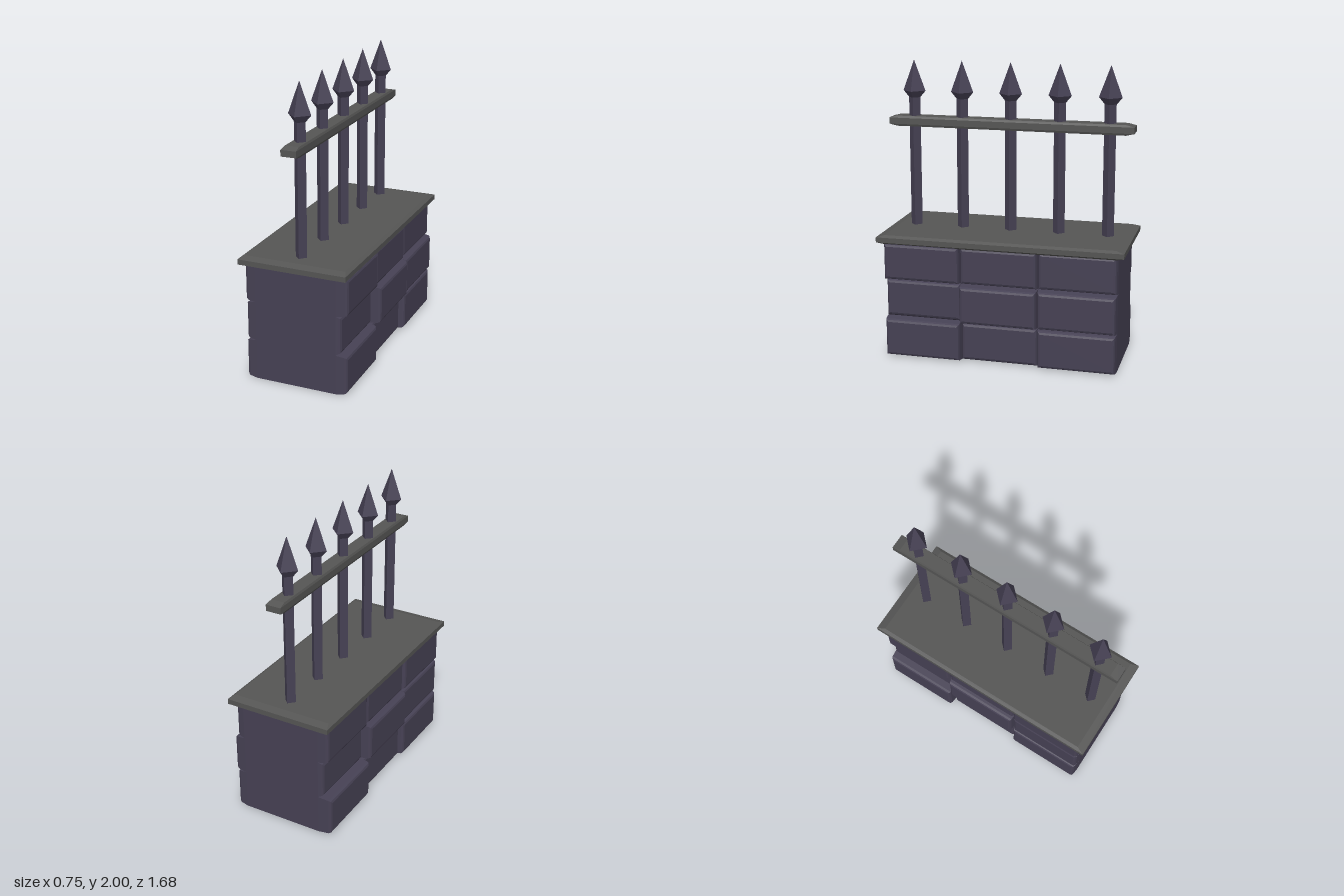
import * as THREE from 'three';

const stone = new THREE.MeshStandardMaterial({ color: 0x464154, flatShading: true });
stone.name = 'dark purple stone and iron';
const grey = new THREE.MeshStandardMaterial({ color: 0x555554, flatShading: true });
grey.name = 'grey slab';

// Stack of rectangles [y, x0, x1, z0, z1] joined into a closed solid
function loft(rings) {
  const pos = [];
  const corners = rings.map(([y, x0, x1, z0, z1]) =>
    [[x0, y, z1], [x1, y, z1], [x1, y, z0], [x0, y, z0]]);
  const quad = (a, b, c, d) => pos.push(...a, ...b, ...c, ...a, ...c, ...d);
  for (let i = 0; i + 1 < corners.length; i++) {
    const lo = corners[i], hi = corners[i + 1];
    for (let k = 0; k < 4; k++) {
      const n = (k + 1) % 4;
      quad(lo[k], lo[n], hi[n], hi[k]);
    }
  }
  const first = corners[0], last = corners[corners.length - 1];
  quad(last[0], last[1], last[2], last[3]);
  quad(first[3], first[2], first[1], first[0]);
  const g = new THREE.BufferGeometry();
  g.setAttribute('position', new THREE.Float32BufferAttribute(pos, 3));
  g.computeVertexNormals();
  return g;
}

// Plank whose top and bottom faces are inset by bx, bz
function bevelledPlank(x0, x1, y0, y1, z, bx, by, bz) {
  const small = (y) => [y, x0 + bx, x1 - bx, -z + bz, z - bz];
  const full = (y) => [y, x0, x1, -z, z];
  return loft([small(y0), full(y0 + by), full(y1 - by), small(y1)]);
}

export function createModel() {
  const model = new THREE.Group();
  model.name = 'fenceWall';
  const add = (name, geometry, material, parent = model) => {
    const mesh = new THREE.Mesh(geometry, material);
    mesh.name = name;
    parent.add(mesh);
    return mesh;
  };

  // Solid wall core
  const coreX = 0.28, wallZ = 0.795;
  add('wallCore', new THREE.BoxGeometry(coreX * 2, 0.8, wallZ * 2), stone).position.y = 0.4;

  // Uneven bricks on both long sides; rows from the bottom, columns from the corner
  const bricks = new THREE.Group();
  bricks.name = 'bricks';
  model.add(bricks);
  const rowY = [0, 0.275, 0.545, 0.81];
  const colZ = [wallZ, 0.265, -0.265, -wallZ];
  const reach = {
    right: [[0.355, 0.315, 0.35], [0.312, 0.375, 0.36], [0.36, 0.345, 0.335]],
    left: [[0.375, 0.325, 0.355], [0.315, 0.375, 0.35], [0.355, 0.345, 0.355]],
  };
  for (const [side, s] of [['right', 1], ['left', -1]]) {
    reach[side].forEach((row, r) => row.forEach((p, c) => {
      const zs = [s * colZ[c], s * colZ[c + 1]].sort((a, b) => a - b);
      const us = [-s * rowY[r], -s * rowY[r + 1]].sort((a, b) => a - b);
      const ring = (t, iy, iz) => [t, us[0] + iy, us[1] - iy, zs[0] + iz, zs[1] - iz];
      const g = loft([
        ring(coreX, 0, 0),
        ring(p - 0.02, 0.008, 0.005),
        ring(p - 0.006, 0.015, 0.012),
        ring(p, 0.028, 0.024),
      ]);
      g.rotateZ(-s * Math.PI / 2);
      add('brick', g, stone, bricks);
    }));
  }

  // Coping slab and fence rail
  add('copingSlab', bevelledPlank(-0.378, 0.365, 0.795, 0.858, 0.84, 0.022, 0.014, 0.055), grey);
  add('rail', bevelledPlank(-0.06, 0.044, 1.55, 1.62, 0.84, 0.006, 0.014, 0.055), grey);

  // Diamond-section posts with spear heads
  const head = new THREE.LatheGeometry([
    new THREE.Vector2(0.04, 1.745),
    new THREE.Vector2(0.078, 1.79),
    new THREE.Vector2(0, 2),
  ], 4);
  const shaft = new THREE.CylinderGeometry(0.04, 0.04, 0.92, 4);
  for (let i = -2; i <= 2; i++) {
    const post = new THREE.Group();
    post.name = 'post';
    post.position.set(-0.008, 0, i * 0.336);
    add('shaft', shaft, stone, post).position.y = 1.3;
    add('spearHead', head, stone, post);
    model.add(post);
  }
  return model;
}
